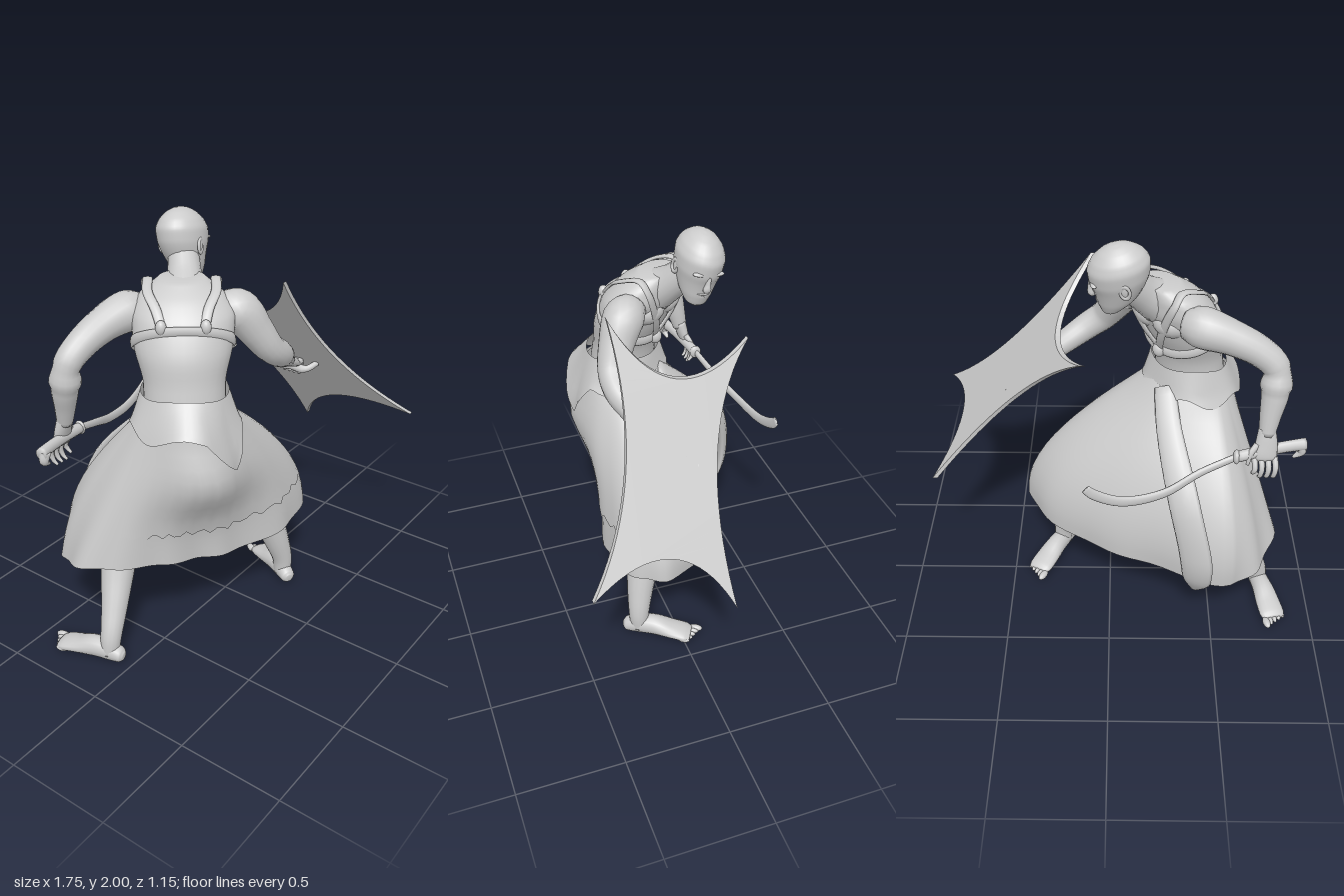
import * as THREE from 'three';

const V = (x, y, z) => new THREE.Vector3(x, y, z);
const solid = new THREE.MeshStandardMaterial({ color: 0xcccccc });
const cloth = new THREE.MeshStandardMaterial({ color: 0xcccccc, side: THREE.DoubleSide });
const UP = V(0, 1, 0), AZ = V(0, 0, 1);
const RIGHT = V(0.62, 0, 0.78), FWD = V(0.78, 0, -0.62); // body axes
const bell = (x, mid, width) => Math.exp(-(((x - mid) / width) ** 2));

function mesh(name, geo, mat = solid) {
  const m = new THREE.Mesh(geo, mat);
  m.name = name;
  return m;
}

// Grid surface from point(row, column); columns wrap round, ends may be capped.
function grid(rows, cols, point, caps = []) {
  const pos = [], idx = [];
  for (let j = 0; j <= rows; j++)
    for (let i = 0; i < cols; i++) pos.push(...point(j, i).toArray());
  for (let j = 0; j < rows; j++)
    for (let i = 0; i < cols; i++) {
      const a = j * cols + i, c = j * cols + (i + 1) % cols;
      idx.push(a, a + cols, c, a + cols, c + cols, c);
    }
  caps.forEach((p, k) => {
    const centre = pos.length / 3, base = k ? rows * cols : 0;
    pos.push(...p.toArray());
    for (let i = 0; i < cols; i++) {
      const a = base + i, b = base + (i + 1) % cols;
      k ? idx.push(centre, b, a) : idx.push(centre, a, b);
    }
  });
  const g = new THREE.BufferGeometry();
  g.setAttribute('position', new THREE.Float32BufferAttribute(pos, 3));
  g.setIndex(idx);
  g.computeVertexNormals();
  return g;
}

// Elliptical sections [x, y, z, a, b] swept smoothly; a lies along ref.
function loft(name, st, { ref = AZ, fixed = null, n = 16, sub = 5 } = {}) {
  const path = new THREE.CatmullRomCurve3(st.map(s => V(s[0], s[1], s[2])));
  const size = new THREE.CatmullRomCurve3(st.map(s => V(s[3], s[4] ?? s[3], 0)));
  const rows = (st.length - 1) * sub, rings = [];
  for (let j = 0; j <= rows; j++) {
    const t = fixed || path.getTangent(j / rows), r = size.getPoint(j / rows);
    const x = ref.clone().addScaledVector(t, -ref.dot(t)).normalize();
    rings.push({ c: path.getPoint(j / rows), x, z: x.clone().cross(t).normalize(), r });
  }
  return mesh(name, grid(rows, n, (j, i) => {
    const f = i / n * Math.PI * 2, { c, x, z, r } = rings[j];
    return c.clone().addScaledVector(x, r.x * Math.cos(f)).addScaledVector(z, r.y * Math.sin(f));
  }, [rings[0].c, rings[rows].c]));
}

function blob(name, p, s) {
  const m = mesh(name, new THREE.SphereGeometry(1, 18, 12));
  m.position.set(...p);
  m.scale.set(...s);
  return m;
}

const TORSO = [
  [-0.35, 0.95, 0.03, 0.19, 0.16], [-0.36, 1.05, 0.04, 0.2, 0.16], [-0.37, 1.2, 0.05, 0.18, 0.145],
  [-0.355, 1.35, 0.04, 0.18, 0.14], [-0.32, 1.5, 0.01, 0.215, 0.16], [-0.28, 1.62, -0.02, 0.225, 0.155],
  [-0.25, 1.7, -0.05, 0.185, 0.125], [-0.21, 1.76, -0.08, 0.1, 0.085]];

// Point on the torso skin at a height and angle (0 = body right, PI/2 = front).
function skin(y, th, off) {
  let k = 0;
  while (k < TORSO.length - 2 && y > TORSO[k + 1][1]) k++;
  const A = TORSO[k], B = TORSO[k + 1];
  const t = THREE.MathUtils.clamp((y - A[1]) / (B[1] - A[1]), 0, 1);
  const [x, , z, a, b] = A.map((v, i) => v + (B[i] - v) * t);
  return V(x, y, z).addScaledVector(RIGHT, (a + off) * Math.cos(th)).addScaledVector(FWD, (b + off) * Math.sin(th));
}

function buildHead() {
  const head = new THREE.Group();
  head.name = 'head';
  head.add(loft('skull', [
    [0, -0.17, 0.07, 0.025, 0.02], [0, -0.155, 0.06, 0.05, 0.045], [0, -0.11, 0.03, 0.076, 0.085],
    [0, -0.05, 0.008, 0.094, 0.112], [0, 0, 0, 0.106, 0.13], [0, 0.05, -0.006, 0.108, 0.134],
    [0, 0.095, -0.01, 0.091, 0.114], [0, 0.128, -0.012, 0.06, 0.076], [0, 0.146, -0.012, 0.026, 0.034], [0, 0.15, -0.012, 0.004, 0.005]],
    { ref: V(1, 0, 0), fixed: UP, n: 28 }));
  head.add(loft('nose', [[0, 0.005, 0.118, 0.01, 0.012], [0, -0.03, 0.126, 0.012, 0.015],
    [0, -0.056, 0.13, 0.019, 0.016], [0, -0.066, 0.118, 0.013, 0.012]], { ref: V(1, 0, 0), n: 10 }));
  head.add(blob('upperLip', [0, -0.092, 0.108], [0.03, 0.007, 0.012]));
  head.add(blob('lowerLip', [0, -0.107, 0.104], [0.026, 0.008, 0.012]));
  for (const s of [-1, 1]) {
    head.add(blob('brow', [s * 0.04, 0.012, 0.108], [0.036, 0.01, 0.016]));
    head.add(blob('eye', [s * 0.038, -0.012, 0.101], [0.018, 0.009, 0.012]));
    const ear = mesh('ear', new THREE.TorusGeometry(0.02, 0.007, 8, 16));
    ear.position.set(s * 0.102, -0.02, -0.012);
    ear.scale.y = 1.5;
    ear.rotation.y = s * 1.35;
    head.add(ear, blob('innerEar', [s * 0.098, -0.02, -0.012], [0.008, 0.03, 0.018]));
  }
  head.rotation.set(0.2, 1.62, -0.15, 'YXZ');
  head.position.set(-0.04, 1.85, -0.205);
  return head;
}

// Foot built toes forward, then turned onto its heading.
function buildFoot(name, ankle, dx, dz, inner) {
  const foot = new THREE.Group();
  foot.name = name;
  foot.add(loft('sole', [[0, 0.04, -0.08, 0.018, 0.02], [0, 0.042, -0.065, 0.036, 0.035], [0, 0.054, -0.01, 0.044, 0.05],
    [0, 0.058, 0.07, 0.05, 0.052], [0, 0.042, 0.16, 0.06, 0.036], [0, 0.03, 0.23, 0.062, 0.025], [0, 0.024, 0.26, 0.05, 0.015]],
    { ref: V(1, 0, 0) }));
  for (let i = 0; i < 5; i++)
    foot.add(blob('toe', [inner * (0.044 - i * 0.023), 0.02, 0.278 - i * 0.011],
      [i ? 0.012 : 0.018, i ? 0.014 : 0.017, i ? 0.03 : 0.036]));
  foot.rotation.y = Math.atan2(dx, dz);
  foot.position.set(ankle[0], 0, ankle[2]);
  return foot;
}

// Skirt surface: waist ellipse blending to an uneven hem [x, y, z, bulge], full over the hips.
const HEM = [[0.41, 0.45, 0.06, 1.1], [0.36, 0.46, 0.22, 1], [0.1, 0.45, 0.3, 0.8], [-0.22, 0.44, 0.2, 0.6],
  [-0.44, 0.47, 0.1, 0.5], [-0.65, 0.5, -0.02, 0.2], [-0.79, 0.5, -0.2, 0], [-0.72, 0.43, -0.42, 0.5],
  [-0.57, 0.38, -0.51, 1.4], [-0.15, 0.39, -0.36, 1.5], [0.22, 0.42, -0.18, 1.3]];
const hemCurve = new THREE.CatmullRomCurve3(HEM.map(h => V(h[0], h[1], h[2])), true);
function skirtPoint(k, t, grow) {
  const u = k / HEM.length, i = Math.floor(k) % HEM.length;
  const h = hemCurve.getPoint(u), f = Math.atan2(h.z + 0.07, h.x + 0.2);
  const bulge = THREE.MathUtils.lerp(HEM[i][3], HEM[(i + 1) % HEM.length][3], k % 1);
  const s = THREE.MathUtils.lerp(t, Math.sin(t * Math.PI / 2), bulge);
  const r = grow + 0.01 * t * t * Math.sin(u * Math.PI * 22);
  const hip = bell(u, 0.335, 0.11) * bell(t, 0.36, 0.25);
  return V(THREE.MathUtils.lerp(-0.37 + 0.185 * Math.cos(f), h.x, s) + r * Math.cos(f) - 0.05 * hip,
    THREE.MathUtils.lerp(1.22, h.y, t),
    THREE.MathUtils.lerp(0.04 + 0.18 * Math.sin(f), h.z, s) + r * Math.sin(f) + 0.115 * hip);
}

export function createModel() {
  const g = new THREE.Group();
  g.name = 'warrior';

  // Body
  g.add(loft('torso', TORSO, { ref: RIGHT, fixed: UP, n: 32 }), buildHead());
  g.add(loft('neck', [[-0.21, 1.66, -0.07, 0.1], [-0.135, 1.73, -0.125, 0.078], [-0.07, 1.81, -0.18, 0.068]]));
  for (const th of [1.1, Math.PI - 1.1])
    g.add(blob('chestMuscle', skin(1.58, th, -0.08).toArray(), [0.1, 0.075, 0.1]));

  // Arms
  g.add(loft('leftArm', [[-0.33, 1.62, -0.2, 0.07], [-0.4, 1.62, -0.24, 0.092], [-0.52, 1.59, -0.27, 0.077],
    [-0.64, 1.535, -0.29, 0.067], [-0.71, 1.47, -0.305, 0.062], [-0.715, 1.36, -0.325, 0.062], [-0.7, 1.25, -0.35, 0.048], [-0.69, 1.16, -0.37, 0.036]]));
  g.add(loft('rightArm', [[-0.14, 1.63, 0.07, 0.07], [-0.08, 1.61, 0.13, 0.095], [-0.03, 1.52, 0.18, 0.082],
    [0.03, 1.42, 0.22, 0.068], [0.11, 1.36, 0.22, 0.064], [0.21, 1.3, 0.18, 0.056], [0.35, 1.21, 0.12, 0.035]]));

  // Hands
  g.add(loft('leftPalm', [[-0.69, 1.19, -0.365, 0.033, 0.038], [-0.69, 1.12, -0.385, 0.028, 0.05], [-0.685, 1.06, -0.4, 0.022, 0.054], [-0.685, 1.04, -0.4, 0.012, 0.04]]));
  g.add(loft('rightPalm', [[0.34, 1.215, 0.125, 0.036, 0.032], [0.39, 1.185, 0.105, 0.048, 0.028], [0.44, 1.155, 0.085, 0.048, 0.02]]));
  for (let i = 0; i < 4; i++) {
    const x = -0.73 + i * 0.03, z = 0.125 - i * 0.028, d = i === 3 ? 0.02 : 0;
    g.add(loft('leftFinger', [[x, 1.06, -0.4, 0.014], [x - 0.005, 1.01, -0.425, 0.013], [x, 0.97 + d, -0.42, 0.011], [x + 0.005, 0.95 + d, -0.4, 0.006]], { n: 8 }));
    g.add(loft('rightFinger', [[0.43, 1.165, z, 0.013], [0.475, 1.15, z - 0.01, 0.013], [0.485, 1.11, z - 0.012, 0.011], [0.46, 1.09, z - 0.01, 0.007]], { n: 8, ref: V(0.2, 0.1, 1) }));
  }
  g.add(loft('leftThumb', [[-0.65, 1.12, -0.39, 0.016], [-0.62, 1.08, -0.41, 0.014], [-0.61, 1.03, -0.42, 0.008]], { n: 8 }));
  g.add(loft('rightThumb', [[0.39, 1.19, 0.07, 0.016], [0.42, 1.2, 0.04, 0.014], [0.46, 1.19, 0.03, 0.008]], { n: 8 }));

  // Legs and feet
  g.add(loft('leftLeg', [[-0.4, 0.98, -0.06, 0.13], [-0.48, 0.75, -0.15, 0.115], [-0.55, 0.55, -0.2, 0.088],
    [-0.61, 0.4, -0.18, 0.08], [-0.69, 0.25, -0.14, 0.062], [-0.75, 0.13, -0.115, 0.05], [-0.765, 0.04, -0.115, 0.044]]));
  g.add(loft('rightLeg', [[-0.22, 0.98, 0.12, 0.13], [-0.03, 0.78, 0.12, 0.12], [0.12, 0.59, 0.11, 0.092],
    [0.165, 0.43, 0.13, 0.084], [0.215, 0.26, 0.165, 0.066], [0.25, 0.13, 0.185, 0.051], [0.255, 0.04, 0.185, 0.044]]));
  g.add(buildFoot('leftFoot', [-0.765, 0, -0.12], -0.22, -0.97, -1));
  g.add(buildFoot('rightFoot', [0.255, 0, 0.185], 0.48, -0.87, 1));

  // Skirt, ragged outer layer over its near side, and torn hip wrap
  const N = 88, H = HEM.length;
  g.add(mesh('skirt', grid(14, N, (j, i) => skirtPoint(i / N * H, j / 14, 0)), cloth));
  g.add(mesh('overSkirt', grid(10, N, (j, i) =>
    skirtPoint(i / N * H, j / 10 * (0.77 + 0.02 * Math.sin(i * 2.3)), -0.008 + 0.026 * bell(i / N, 0.29, 0.2))), cloth));
  g.add(mesh('hipWrap', grid(6, 64, (j, i) => {
    const th = i / 64 * Math.PI * 2 - Math.PI, v = j / 6;
    const tip = Math.max(0, 1 - Math.abs(th + 0.67) / 0.6) * 0.17;
    const drop = 0.15 + tip + 0.025 * Math.sin(th * 5);
    const back = bell(th, -1.3, 0.8);
    return skin(1.32 + 0.01 * Math.sin(th * 3) - drop * v, th, 0.012 + 0.02 * back + (0.05 + 0.05 * back) * v);
  }), cloth));
  g.add(loft('hangingSash', [[-0.25, 1.22, -0.09, 0.05, 0.02], [-0.27, 1.08, -0.24, 0.06, 0.022], [-0.34, 0.82, -0.455, 0.075, 0.026],
    [-0.4, 0.55, -0.515, 0.08, 0.026], [-0.41, 0.4, -0.495, 0.07, 0.02], [-0.41, 0.28, -0.43, 0.02, 0.008]], { ref: V(0.92, 0, 0.39), n: 12 }));

  // Harness: tilted chest band, two shoulder straps, rings
  const strap = (name, pts, ref) => g.add(loft(name, pts.map(([y, th, o = 0.006]) => [...skin(y, th, o).toArray(), 0.022, 0.008]), { ref, n: 8 }));
  strap('chestBand', Array.from({ length: 17 }, (_, i) => [1.51 - 0.1 * Math.sin(i * Math.PI / 8), i * Math.PI / 8]), UP);
  for (const flip of [false, true]) {
    const side = a => flip ? Math.PI - a : a;
    strap('shoulderStrap', [[1.42, 1.57], [1.52, 1.3, 0.012], [1.63, 1.02, 0.012], [1.71, 0.65, 0.025], [1.755, 0, 0.04], [1.73, -0.6, 0.035],
      [1.68, -1, 0.012], [1.61, -1.18]].map(([y, a, o]) => [y, side(a), o]), RIGHT);
    g.add(blob('backRing', skin(1.62, side(-1.15), 0.006).toArray(), [0.024, 0.034, 0.024]));
  }
  g.add(blob('chestRing', skin(1.41, Math.PI / 2, 0.006).toArray(), [0.032, 0.038, 0.032]));

  // Shield: four points, concave edges, sheared into its slanted plane
  const s = new THREE.Shape();
  s.moveTo(-0.26, 1.72);
  s.quadraticCurveTo(-0.205, 1.175, -0.57, 0.85);
  s.quadraticCurveTo(-0.125, 1.03, 0.06, 0.65);
  s.quadraticCurveTo(0.015, 1.255, 0.39, 1.52);
  s.quadraticCurveTo(-0.065, 1.3, -0.26, 1.72);
  const sg = new THREE.ExtrudeGeometry(s, { depth: 0.024, bevelEnabled: false, curveSegments: 20 });
  sg.rotateY(Math.PI / 2);
  const p = sg.attributes.position;
  for (let i = 0; i < p.count; i++) p.setX(i, p.getX(i) + 1.377 - 0.79 * p.getY(i) + 0.197 * p.getZ(i));
  sg.computeVertexNormals();
  g.add(mesh('shield', sg));
  g.add(loft('shieldGrip', [[0.51, 1.15, 0.19, 0.014], [0.455, 1.13, 0.16, 0.016], [0.45, 1.125, 0.08, 0.016], [0.445, 1.13, 0, 0.016], [0.48, 1.15, -0.03, 0.014]], { ref: UP, n: 10 }));

  // Curved sword
  g.add(loft('swordHandle', [[-0.87, 1.09, -0.345, 0.03, 0.026], [-0.8, 1.09, -0.36, 0.028, 0.022], [-0.68, 1.08, -0.385, 0.027, 0.022], [-0.56, 1.065, -0.41, 0.026]], { ref: UP, n: 12 }));
  g.add(loft('pommelHook', [[-0.845, 1.09, -0.345, 0.026], [-0.855, 1.05, -0.345, 0.022], [-0.82, 1.02, -0.35, 0.006]], { n: 10 }));
  g.add(blob('guard', [-0.56, 1.065, -0.41], [0.016, 0.034, 0.03]));
  g.add(loft('blade', [[-0.56, 1.065, -0.41, 0.018, 0.012], [-0.4, 1.01, -0.455, 0.02, 0.012], [-0.24, 0.945, -0.52, 0.024, 0.012],
    [-0.06, 0.93, -0.56, 0.028, 0.011], [0.06, 0.975, -0.572, 0.028, 0.009], [0.1, 1.01, -0.575, 0.022, 0.006]], { ref: UP, n: 10 }));
  return g;
}
